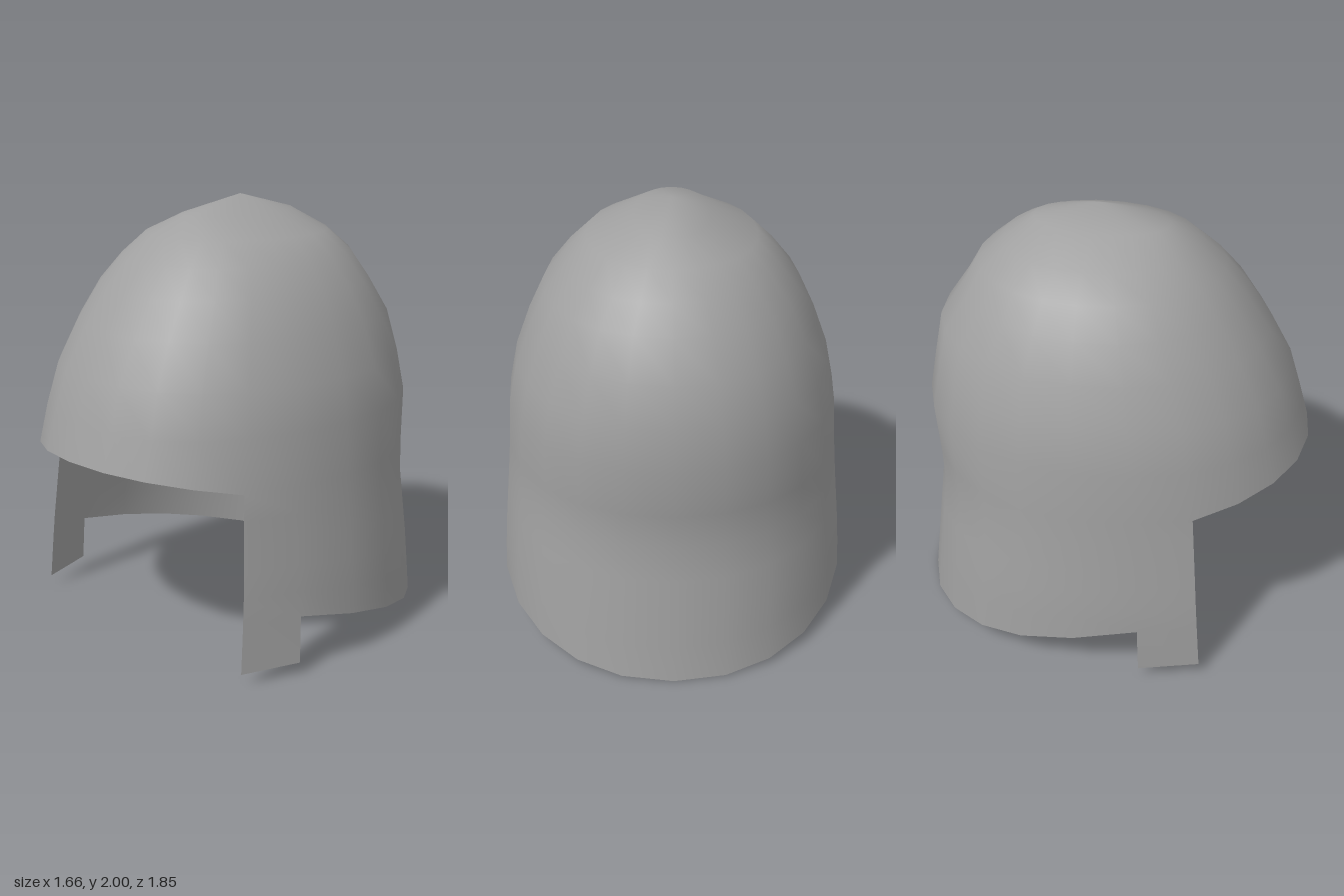
import * as THREE from 'three';
import { mergeVertices } from 'three/addons/utils/BufferGeometryUtils.js';

// Cross-sections of the shell, top down: [y, half width, front z, back z]
const SECTIONS = [
  [2.0, 0, -0.08, -0.08], [1.925, 0.17, 0.25, -0.37], [1.84, 0.38, 0.38, -0.5],
  [1.74, 0.48, 0.5, -0.62], [1.62, 0.575, 0.605, -0.69], [1.46, 0.65, 0.715, -0.8],
  [1.27, 0.72, 0.82, -0.835], [1.08, 0.76, 0.88, -0.87], [0.92, 0.77, 0.928, -0.85],
  [0.7, 0.79, 0.96, -0.83], [0.35, 0.825, 1.01, -0.875], [0, 0.84, 1.06, -0.92],
];
const POWER = 2.1; // slightly squarer than an ellipse

// Point on the shell at angle a (0 = front, growing to +x) and height y
function shellPoint(a, y) {
  let i = 0;
  while (i < SECTIONS.length - 2 && y < SECTIONS[i + 1][0]) i++;
  const s = SECTIONS[i], e = SECTIONS[i + 1];
  const t = (s[0] - y) / (s[0] - e[0]);
  const [w, f, b] = [1, 2, 3].map((k) => s[k] + (e[k] - s[k]) * t);
  const c = Math.max(-0.08, Math.min(-0.05, -0.08 + (2 - y) * 0.03));
  const round = (v) => Math.sign(v) * Math.abs(v) ** (2 / POWER);
  const cz = round(Math.cos(a));
  return new THREE.Vector3(w * round(Math.sin(a)), y, c + (cz > 0 ? f - c : c - b) * cz);
}

// Height where a column meets a rim whose height depends on z
function rimHeight(a, start, rule) {
  let y = start;
  for (let i = 0; i < 8; i++) y = rule(shellPoint(a, y).z);
  return y;
}
const browRim = (z) => 0.845 + 0.19 * Math.max(0, z - 0.5);
const neckRim = (z) => Math.max(0, 0.27 + 0.223 * Math.min(0, z - 0.29));

function createShell() {
  // Columns: face opening, cheek guard, neck; mirrored to the other side
  const guardFront = Math.acos(0.56 ** (POWER / 2));
  const guardBack = Math.acos(0.318 ** (POWER / 2));
  const half = [];
  for (let i = 0; i < 4; i++) half.push({ a: (guardFront * i) / 4, zone: 'face' });
  half.push({ a: guardFront, zone: 'guard' });
  for (let i = 0; i < 7; i++) {
    half.push({ a: guardBack + ((Math.PI - guardBack) * i) / 7, zone: i ? 'neck' : 'guard' });
  }
  const columns = [...half, { a: Math.PI, zone: 'neck' },
    ...half.slice(1).reverse().map((c) => ({ a: -c.a, zone: c.zone }))];

  const domeRows = 8, sideRows = 5;
  const browRow = domeRows, neckRow = domeRows + sideRows, tipRow = neckRow + 1;
  const stride = tipRow + 1;
  const positions = [], index = [];

  for (const { a, zone } of columns) {
    const brow = rimHeight(a, 0.9, browRim);
    const neck = zone === 'face' ? brow : rimHeight(a, 0.2, neckRim);
    const ys = SECTIONS.slice(0, domeRows).map((s) => s[0]);
    for (let r = 0; r <= sideRows; r++) ys.push(brow + ((neck - brow) * r) / sideRows);
    ys.push(zone === 'guard' ? 0.055 : neck);
    for (const y of ys) positions.push(...shellPoint(a, y).toArray());
  }

  columns.forEach((col, c) => {
    const n = (c + 1) % columns.length, next = columns[n];
    const isFace = col.zone === 'face' || next.zone === 'face';
    const isGuard = col.zone === 'guard' && next.zone === 'guard';
    const last = isFace ? browRow : isGuard ? tipRow : neckRow;
    for (let r = 0; r < last; r++) {
      const p = c * stride + r, q = n * stride + r;
      index.push(p, p + 1, q + 1);
      if (r > 0) index.push(p, q + 1, q);
    }
  });

  const geometry = new THREE.BufferGeometry();
  geometry.setAttribute('position', new THREE.Float32BufferAttribute(positions, 3));
  geometry.setIndex(index);
  const welded = mergeVertices(geometry, 1e-4);
  welded.computeVertexNormals();
  return welded;
}

export function createModel() {
  const group = new THREE.Group();
  group.name = 'helmet';
  const steel = new THREE.MeshStandardMaterial({ color: 0xa0a0a0, side: THREE.DoubleSide });
  steel.name = 'grey steel';
  const shell = new THREE.Mesh(createShell(), steel);
  shell.name = 'helmetShell';
  group.add(shell);
  return group;
}
